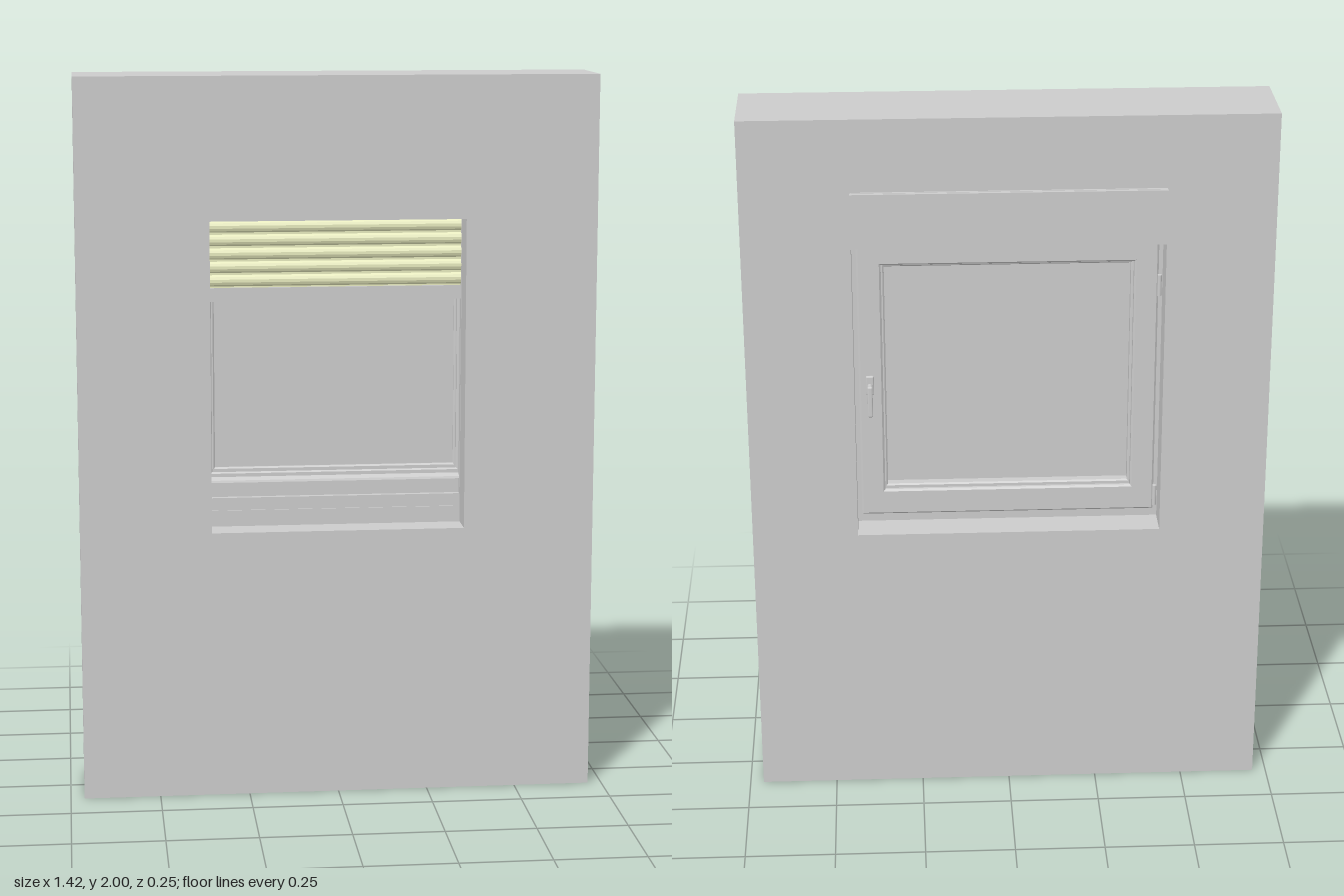
import * as THREE from 'three';
import { RoundedBoxGeometry } from 'three/addons/geometries/RoundedBoxGeometry.js';

const grey = new THREE.MeshStandardMaterial({ color: 0xcccccc });
const cream = new THREE.MeshStandardMaterial({ color: 0xe8ebbf });

function add(parent, name, geometry, material = grey) {
  const mesh = new THREE.Mesh(geometry, material);
  mesh.name = name;
  parent.add(mesh);
  return mesh;
}

// Box given by its limits on each axis
function box(x0, x1, y0, y1, z0, z1) {
  return new THREE.BoxGeometry(x1 - x0, y1 - y0, z1 - z0)
    .translate((x0 + x1) / 2, (y0 + y1) / 2, (z0 + z1) / 2);
}

// Rectangular ring: outer and inner are [half width, bottom, top]
function ring(outer, inner, z0, z1, bevel = 0) {
  const corners = ([w, b, t]) => [[-w, b], [w, b], [w, t], [-w, t]].map(p => new THREE.Vector2(...p));
  const shape = new THREE.Shape(corners(outer));
  shape.holes.push(new THREE.Path(corners(inner)));
  return new THREE.ExtrudeGeometry(shape, {
    depth: z1 - z0 - 2 * bevel, bevelEnabled: bevel > 0, bevelThickness: bevel,
    bevelSize: bevel, bevelOffset: -bevel, bevelSegments: 1,
  }).translate(0, 0, z0 + bevel);
}

// Profile of [z, y] points drawn out along x
function strip(profile, halfWidth) {
  const shape = new THREE.Shape(profile.map(([z, y]) => new THREE.Vector2(-z, y)));
  return new THREE.ExtrudeGeometry(shape, { depth: 2 * halfWidth, bevelEnabled: false })
    .translate(0, 0, -halfWidth).rotateY(Math.PI / 2);
}

export function createModel() {
  const model = new THREE.Group();
  model.name = 'wallWithWindow';

  // Wall: small opening outside, larger rebated opening inside
  const wall = new THREE.Group();
  wall.name = 'wall';
  model.add(wall);
  add(wall, 'outerWall', ring([0.712, 0, 2], [0.35, 0.75, 1.61], 0.04, 0.125));
  add(wall, 'innerWall', ring([0.712, 0, 2], [0.42, 0.795, 1.8], -0.115, 0.04));

  // Fixed frame and the profile below it
  const win = new THREE.Group();
  win.name = 'window';
  model.add(win);
  add(win, 'fixedFrame', ring([0.42, 0.81, 1.64], [0.36, 0.87, 1.59], -0.03, 0.02));
  add(win, 'baseProfile', box(-0.42, 0.42, 0.795, 0.83, -0.025, 0.036));
  add(win, 'dripBar', strip([[0.018, 0.872], [0.032, 0.872], [0.03, 0.878], [0.018, 0.886]], 0.35));

  // Opening sash, glazing bead and pane
  const sash = new THREE.Group();
  sash.name = 'sash';
  win.add(sash);
  add(sash, 'sashFrame', ring([0.408, 0.825, 1.632], [0.342, 0.9, 1.568], -0.046, 0.016, 0.005));
  add(sash, 'glazingBead', ring([0.345, 0.895, 1.572], [0.334, 0.912, 1.56], -0.034, 0.012, 0.004));
  add(sash, 'pane', box(-0.338, 0.338, 0.905, 1.565, -0.008, 0.004));

  // Handle on the inner face
  const handle = new THREE.Group();
  handle.name = 'handle';
  handle.position.set(0.378, 1.22, -0.046);
  sash.add(handle);
  add(handle, 'rosette', new RoundedBoxGeometry(0.022, 0.056, 0.01, 2, 0.004)).position.z = -0.003;
  add(handle, 'neck', new THREE.CylinderGeometry(0.007, 0.007, 0.032, 16).rotateX(Math.PI / 2)).position.z = -0.018;
  add(handle, 'lever', new RoundedBoxGeometry(0.014, 0.09, 0.01, 2, 0.004)).position.set(0, -0.036, -0.034);

  // Hinges on the opposite side
  for (const y of [0.87, 1.5]) {
    const hinge = add(sash, 'hinge', new THREE.CylinderGeometry(0.006, 0.006, 0.06, 12));
    hinge.position.set(-0.41, y, -0.05);
  }

  // Roller shutter: bowed slats with a grey end bar
  const shutter = new THREE.Group();
  shutter.name = 'rollerShutter';
  model.add(shutter);
  const pitch = 0.037;
  const slat = strip([
    [0.025, 0], [0.031, 0], [0.031, 0.004], [0.035, 0.008], [0.038, 0.015],
    [0.038, 0.023], [0.035, 0.03], [0.03, 0.035], [0.03, pitch], [0.025, pitch],
  ], 0.36);
  for (let i = 0; i < 6; i++) add(shutter, 'slat', slat, cream).position.y = 1.418 + i * pitch;
  add(shutter, 'endBar', box(-0.36, 0.36, 1.38, 1.418, 0.024, 0.037));
  for (const s of [-1, 1]) {
    add(shutter, 'guideRail', box(-0.035, 0.035, 0.83, 1.64, 0.02, 0.039)).position.x = s * 0.384;
  }

  // Shutter box with a cover standing slightly proud of the wall
  add(model, 'shutterBox', box(-0.419, 0.419, 1.642, 1.798, -0.116, 0.039));
  add(model, 'boxCover', box(-0.42, 0.42, 1.645, 1.797, -0.125, -0.112));

  return model;
}
